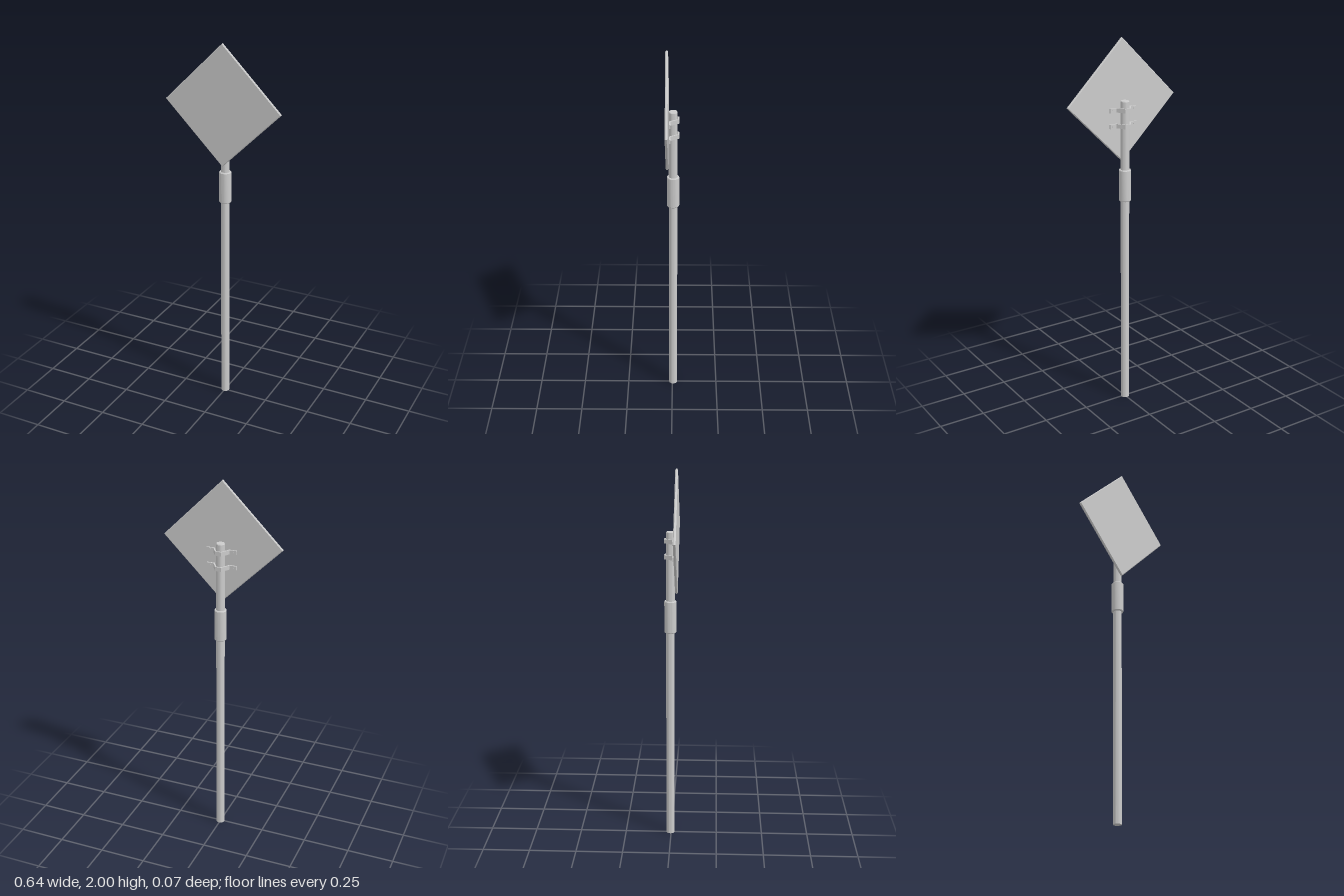
import * as THREE from 'three';
import { toCreasedNormals } from 'three/addons/utils/BufferGeometryUtils.js';

const AXIS_Z = -0.004; // pole axis

export function createModel() {
  const model = new THREE.Group();
  model.name = 'signPost';
  const material = new THREE.MeshStandardMaterial({ color: 0xcccccc });

  const add = (name, geometry, x, y, z, parent = model) => {
    const mesh = new THREE.Mesh(toCreasedNormals(geometry, 0.5), material);
    mesh.name = name;
    mesh.position.set(x, y, z);
    parent.add(mesh);
    return mesh;
  };
  const lathe = (points) =>
    new THREE.LatheGeometry(points.map(([r, y]) => new THREE.Vector2(r, y)), 24);

  // Pole with a slightly chamfered top
  add('pole', lathe([[0, 0], [0.0225, 0], [0.0225, 1.68], [0.02, 1.684], [0, 1.684]]), 0, 0, AXIS_Z);

  // Joint sleeve with chamfered rims
  add('sleeve', lathe([
    [0.0225, 1.153], [0.029, 1.153], [0.032, 1.157],
    [0.032, 1.319], [0.029, 1.323], [0.0225, 1.323],
  ]), 0, 0, AXIS_Z);

  // Diamond sign plate with bevelled edges
  const bevel = 0.004;
  const h = 0.32 - bevel * Math.SQRT2;
  const diamond = new THREE.Shape([[0, -h], [h, 0], [0, h], [-h, 0]].map(([x, y]) => new THREE.Vector2(x, y)));
  const plate = new THREE.ExtrudeGeometry(diamond, {
    depth: 0.006, bevelEnabled: true, bevelSize: bevel, bevelThickness: bevel, bevelSegments: 1,
  });
  add('signPlate', plate, 0, 1.68, 0.024);

  // Bent strap section, drawn in x and -z, then raised along y
  const half = [[0.08, -0.016], [0.08, -0.008], [0.043, -0.008], [0.0165, 0.0355]];
  const inner = [[0.0125, 0.0285], [0.039, -0.016]];
  const mirror = (points) => points.map(([x, y]) => [-x, y]).reverse();
  const outline = [...half, ...mirror(half), ...mirror(inner), ...inner];
  const strapShape = new THREE.Shape(outline.map(([x, y]) => new THREE.Vector2(x, y)));

  // Two clamps, each with a strap and a pair of bolts
  for (const y of [1.555, 1.637]) {
    const clamp = new THREE.Group();
    clamp.name = 'clamp';
    clamp.position.y = y;
    model.add(clamp);
    const strap = new THREE.ExtrudeGeometry(strapShape, { depth: 0.022, bevelEnabled: false });
    strap.rotateX(-Math.PI / 2);
    add('strap', strap, 0, -0.011, 0, clamp);
    for (const side of [-1, 1]) {
      const bolt = new THREE.CylinderGeometry(0.005, 0.005, 0.01, 12);
      bolt.rotateX(Math.PI / 2);
      add('bolt', bolt, side * 0.062, 0, 0.011, clamp);
    }
  }
  return model;
}
